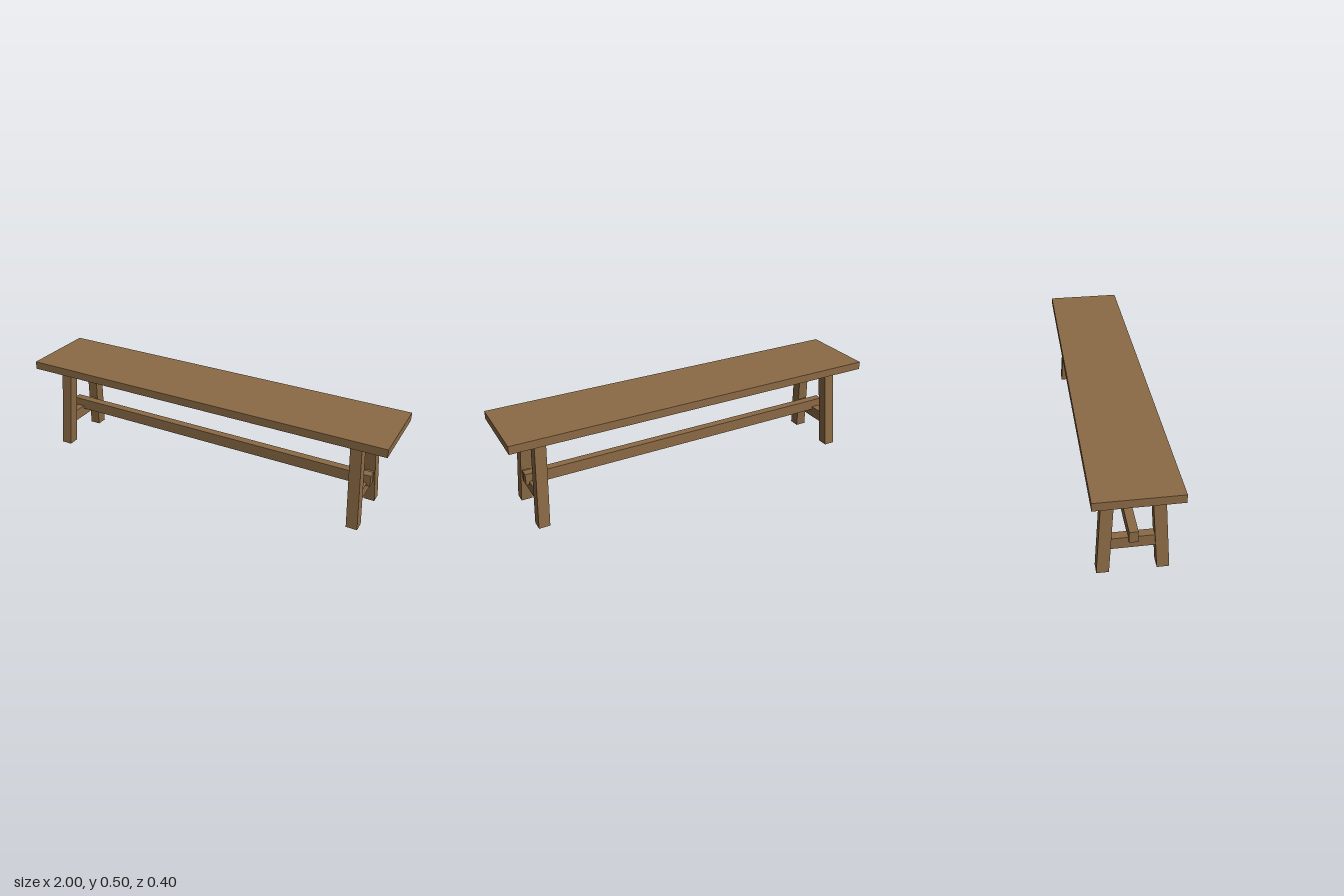
import * as THREE from 'three';

const SEAT_BOTTOM = 0.458;

export function createModel() {
  const bench = new THREE.Group();
  bench.name = 'bench';
  const wood = new THREE.MeshStandardMaterial({ color: 0x8b6a45 });
  wood.name = 'brown wood';

  const addBox = (name, w, h, d, x, y, z) => {
    const mesh = new THREE.Mesh(new THREE.BoxGeometry(w, h, d), wood);
    mesh.name = name;
    mesh.position.set(x, y, z);
    bench.add(mesh);
  };

  // Leg splayed outwards both ways, cut level at floor and seat
  const addLeg = (name, sx, sz) => {
    const geo = new THREE.BoxGeometry(0.057, SEAT_BOTTOM, 0.058);
    geo.translate(0, SEAT_BOTTOM / 2, 0);
    const p = geo.attributes.position;
    for (let i = 0; i < p.count; i++) {
      const t = p.getY(i) / SEAT_BOTTOM;
      p.setX(i, p.getX(i) + sx * (0.867 - 0.03 * t));
      p.setZ(i, p.getZ(i) + sz * (0.139 - 0.029 * t));
    }
    geo.computeVertexNormals();
    const leg = new THREE.Mesh(geo, wood);
    leg.name = name;
    bench.add(leg);
  };

  // Seat plank
  addBox('seat', 2, 0.042, 0.397, 0, 0.479, 0);

  // Long stretcher resting in the cross rails
  addBox('stretcher', 1.79, 0.06, 0.042, 0, 0.196, 0);

  // Legs and cross rail at each end
  for (const [side, sx] of [['left', 1], ['right', -1]]) {
    addLeg(`${side}FrontLeg`, sx, 1);
    addLeg(`${side}BackLeg`, sx, -1);
    addBox(`${side}CrossRail`, 0.042, 0.06, 0.24, sx * 0.857, 0.153, 0);
  }
  return bench;
}
